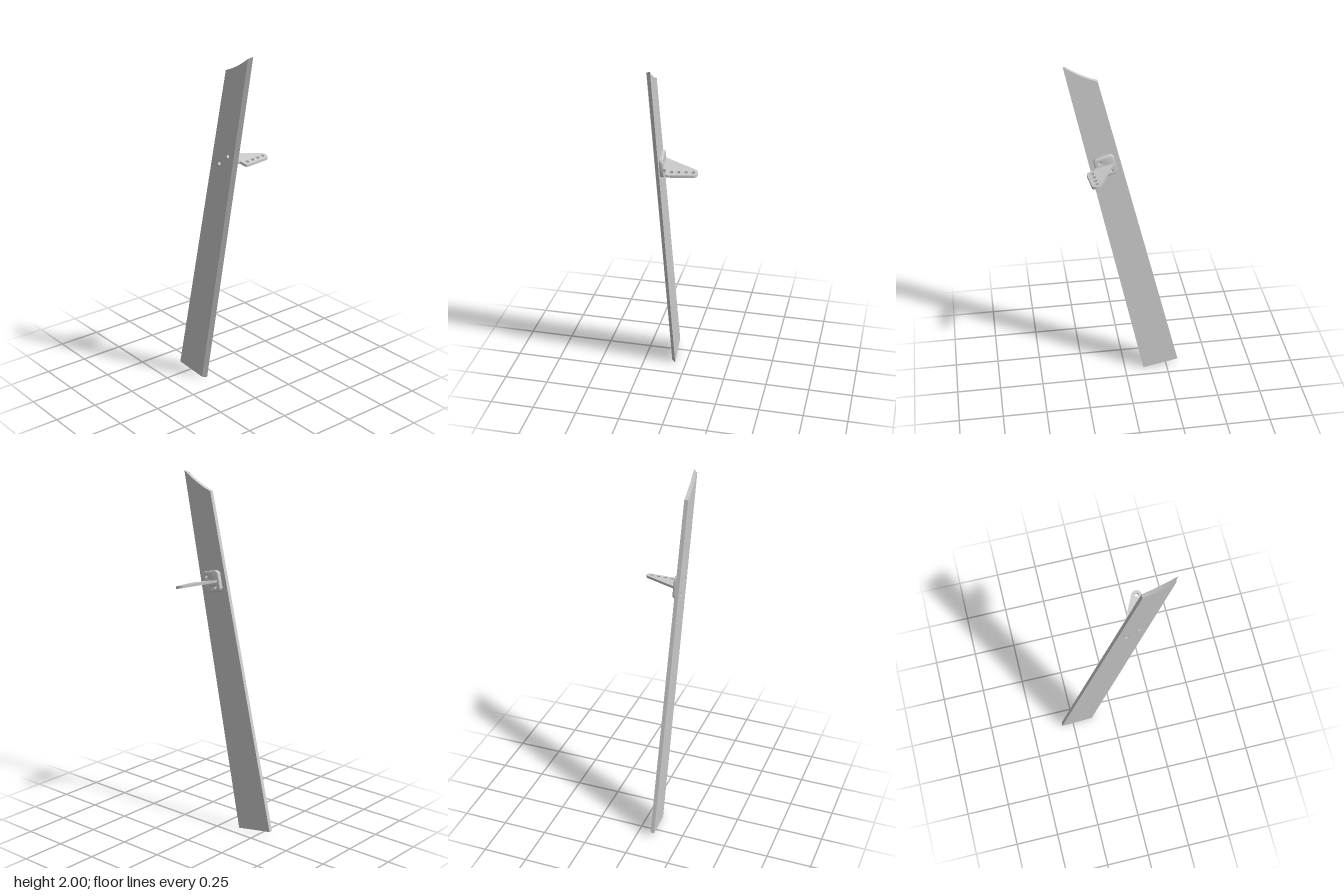
import * as THREE from 'three';
import { toCreasedNormals } from 'three/addons/utils/BufferGeometryUtils.js';

const mat = new THREE.MeshStandardMaterial({ color: 0xcccccc });
const THICK = 0.022;
const LEAN = 0.2135; // sideways lean of the long edges
const screws = [[0.07, 1.378], [0.14, 1.435]];

// depth of the panel's back plane
const backPlane = (x, y) => 0.0576 - 0.0675 * x + 0.0272 * y;

function hole(x, y, r) {
  const p = new THREE.Path();
  p.absarc(x, y, r, 0, Math.PI * 2, true);
  return p;
}

// move every vertex by a rule
function warp(geo, rule) {
  const p = geo.attributes.position;
  const v = new THREE.Vector3();
  for (let i = 0; i < p.count; i++) {
    v.fromBufferAttribute(p, i);
    rule(v);
    p.setXYZ(i, v.x, v.y, v.z);
  }
  geo.computeVertexNormals();
  return toCreasedNormals(geo, 0.6);
}

function add(parent, name, geo) {
  const mesh = new THREE.Mesh(geo, mat);
  mesh.name = name;
  parent.add(mesh);
}

// long slanted board with a bevelled edge and a slightly hollow upper end
function panelGeometry() {
  const s = new THREE.Shape();
  s.moveTo(-0.32, 0.03);
  s.lineTo(-0.11, 0);
  s.lineTo(0.317, 2);
  s.quadraticCurveTo(0.235, 1.936, 0.137, 1.9);
  s.closePath();
  for (const [x, y] of screws) s.holes.push(hole(x, y, 0.011));
  const geo = new THREE.ExtrudeGeometry(s, { depth: THICK, bevelEnabled: false, curveSegments: 12 });
  return warp(geo, (v) => {
    const front = v.z > THICK / 2;
    const onEdge = v.x > -0.115 + LEAN * v.y;
    v.z += backPlane(v.x, v.y);
    if (front && onEdge) {
      v.y += v.y > 1 ? -0.013 : 0.003;
      v.x -= 0.02;
    }
  });
}

// rounded mounting plate, turned to follow the panel
function plateGeometry() {
  const w = 0.0575, h = 0.06, r = 0.02, cx = 0.105, cy = 1.407;
  const a = -Math.atan(LEAN), c = Math.cos(a), n = Math.sin(a);
  const s = new THREE.Shape();
  s.absarc(w - r, h - r, r, 0, Math.PI / 2);
  s.absarc(-w + r, h - r, r, Math.PI / 2, Math.PI);
  s.absarc(-w + r, -h + r, r, Math.PI, Math.PI * 1.5);
  s.absarc(w - r, -h + r, r, Math.PI * 1.5, Math.PI * 2);
  for (const [x, y] of screws) {
    const dx = x - cx, dy = y - cy;
    s.holes.push(hole(c * dx + n * dy, -n * dx + c * dy, 0.011));
  }
  const geo = new THREE.ExtrudeGeometry(s, {
    depth: 0.012, bevelThickness: 0.006, bevelSize: 0.006, bevelOffset: -0.0005,
    bevelSegments: 3, curveSegments: 8,
  });
  geo.scale((w - 0.0055) / w, (h - 0.0055) / h, 1);
  geo.rotateZ(a);
  geo.translate(cx, cy, -0.0145);
  return warp(geo, (v) => { v.z += backPlane(v.x, v.y); });
}

// thin drilled lever standing out from the back (drawn in x and z)
function leverGeometry() {
  const s = new THREE.Shape();
  s.moveTo(0.06, 0.075);
  s.lineTo(0.147, -0.107);
  s.quadraticCurveTo(0.157, -0.124, 0.177, -0.124);
  s.quadraticCurveTo(0.199, -0.124, 0.201, -0.1);
  s.lineTo(0.211, 0.03);
  s.quadraticCurveTo(0.211, 0.042, 0.2, 0.044);
  s.lineTo(0.174, 0.048);
  s.quadraticCurveTo(0.162, 0.05, 0.162, 0.062);
  s.lineTo(0.162, 0.075);
  s.closePath();
  for (let i = 0; i < 4; i++) s.holes.push(hole(0.175 + 0.003 * i, -0.098 + 0.0385 * i, 0.011));
  const geo = new THREE.ExtrudeGeometry(s, { depth: 0.014, bevelEnabled: false, curveSegments: 10 });
  geo.rotateX(Math.PI / 2);
  return warp(geo, (v) => { v.y += 1.416 - LEAN * (v.x - 0.105) - 0.03 * v.z; });
}

export function createModel() {
  const model = new THREE.Group();
  model.name = 'controlSurface';
  add(model, 'panel', panelGeometry());
  const horn = new THREE.Group();
  horn.name = 'controlHorn';
  add(horn, 'mountingPlate', plateGeometry());
  add(horn, 'lever', leverGeometry());
  model.add(horn);
  return model;
}
